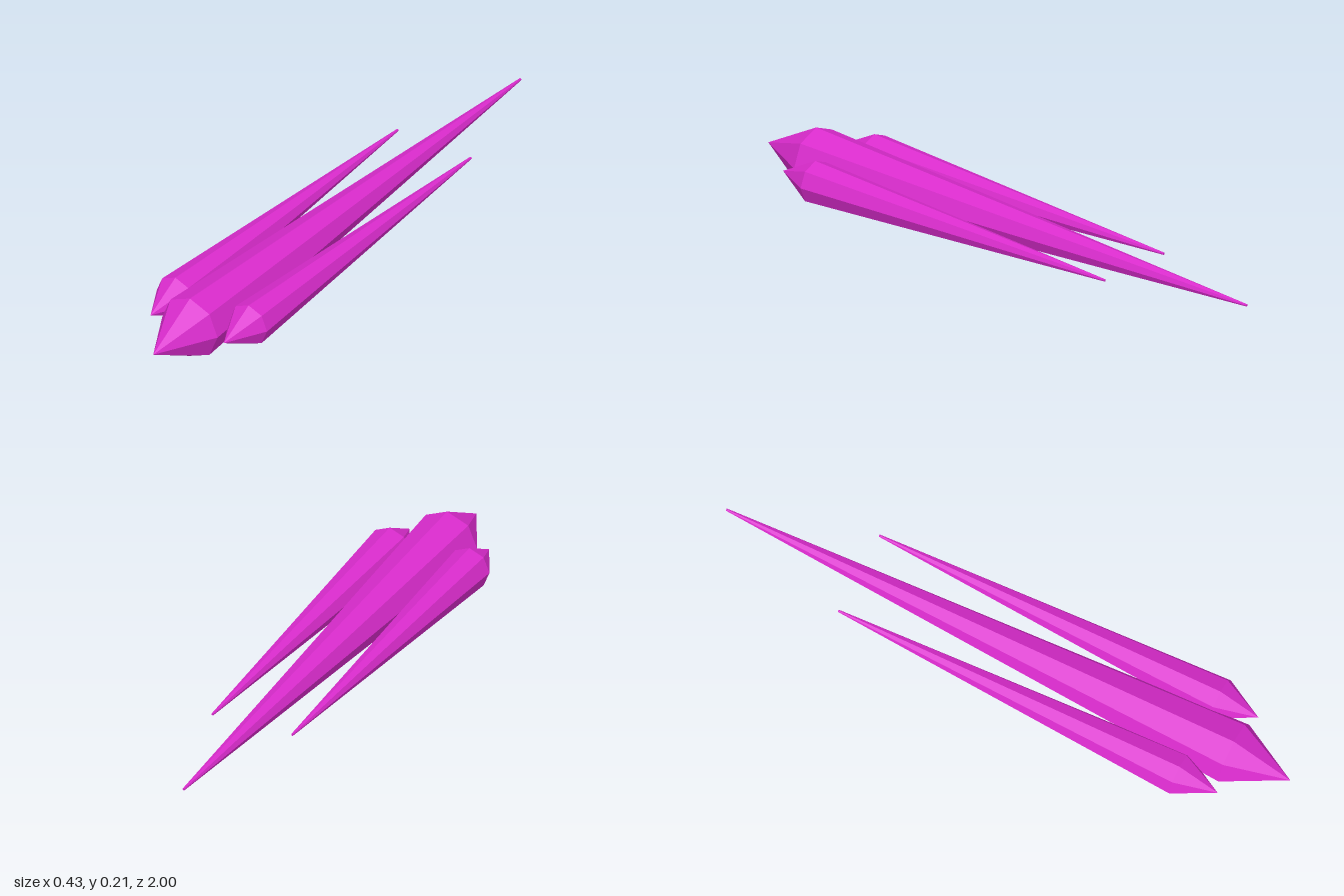
import * as THREE from 'three';

const SIDES = 8;
const CENTRE_Y = 0.107;

// Eight-sided spike along z: long taper to the back, short point at the front
function makeSpike(name, x, radius, backZ, wideZ, frontZ, material) {
  const profile = [
    [0, backZ],
    [0.004, backZ],
    [radius, wideZ],
    [0, frontZ],
  ].map(([r, z]) => new THREE.Vector2(r, z));
  const geometry = new THREE.LatheGeometry(profile, SIDES);
  geometry.rotateX(Math.PI / 2);
  const mesh = new THREE.Mesh(geometry, material);
  mesh.name = name;
  mesh.position.set(x, CENTRE_Y, 0);
  return mesh;
}

export function createModel() {
  const group = new THREE.Group();
  group.name = 'crystalSpikes';
  const material = new THREE.MeshStandardMaterial({ color: 0xd92bcc, flatShading: true });

  // Large middle spike
  group.add(makeSpike('centreSpike', 0, 0.107, -1, 0.8, 1, material));

  // Smaller spike on each side
  for (const side of [1, -1]) {
    const name = side > 0 ? 'leftSpike' : 'rightSpike';
    group.add(makeSpike(name, side * 0.142, 0.0715, -0.53, 0.68, 0.815, material));
  }
  return group;
}
